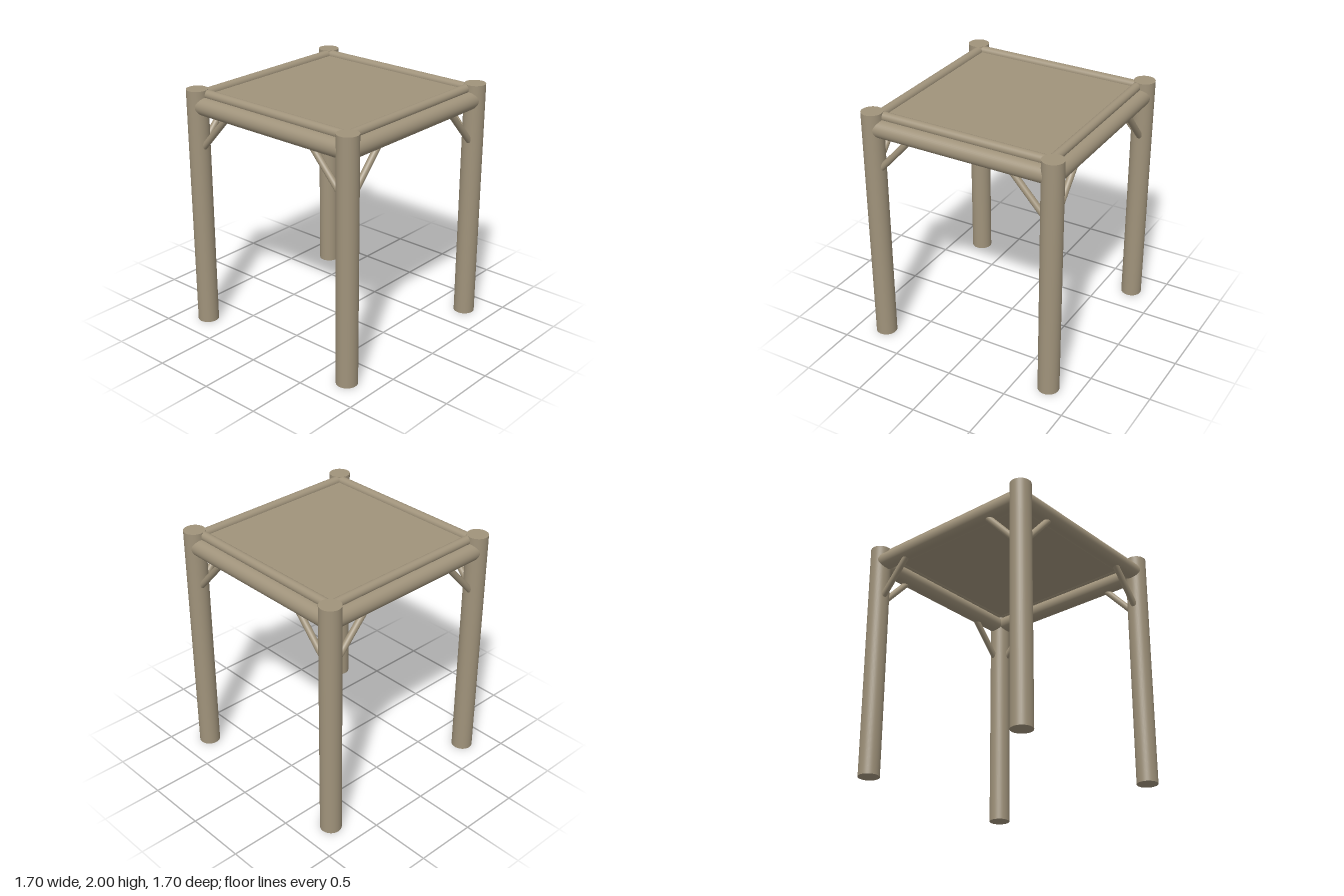
import * as THREE from 'three';

const LEG = 0.763; // leg centre offset in x and z

export function createModel() {
  const group = new THREE.Group();
  group.name = 'logTable';
  const wood = new THREE.MeshStandardMaterial({ color: 0xa0937b });
  wood.name = 'weatheredWood';

  // round pole between two points
  function pole(name, a, b, radius, parent, segments = 32) {
    const dir = new THREE.Vector3().subVectors(b, a);
    const geo = new THREE.CylinderGeometry(radius, radius, dir.length(), segments);
    const mesh = new THREE.Mesh(geo, wood);
    mesh.name = name;
    mesh.position.addVectors(a, b).multiplyScalar(0.5);
    mesh.quaternion.setFromUnitVectors(new THREE.Vector3(0, 1, 0), dir.normalize());
    parent.add(mesh);
  }
  const v = (x, y, z) => new THREE.Vector3(x, y, z);

  // each side carries a leg, a beam, a top rail and two corner braces
  ['front', 'left', 'back', 'right'].forEach((label, i) => {
    const side = new THREE.Group();
    side.name = label + 'Side';
    side.rotation.y = i * Math.PI / 2;
    group.add(side);

    pole('leg', v(LEG, 0, LEG), v(LEG, 2, LEG), 0.085, side, 48);
    pole('beam', v(-LEG, 1.873, LEG), v(LEG, 1.873, LEG), 0.072, side, 40);
    pole('topRail', v(-0.74, 1.962, 0.726), v(0.74, 1.962, 0.726), 0.037, side);
    for (const s of [-1, 1]) {
      pole('brace', v(s * 0.735, 1.505, 0.773), v(s * 0.405, 1.865, 0.773), 0.026, side, 24);
    }
  });

  // table top panel held between the rails
  const top = new THREE.Mesh(new THREE.BoxGeometry(1.44, 0.02, 1.44), wood);
  top.name = 'topPanel';
  top.position.y = 1.95;
  group.add(top);

  return group;
}
